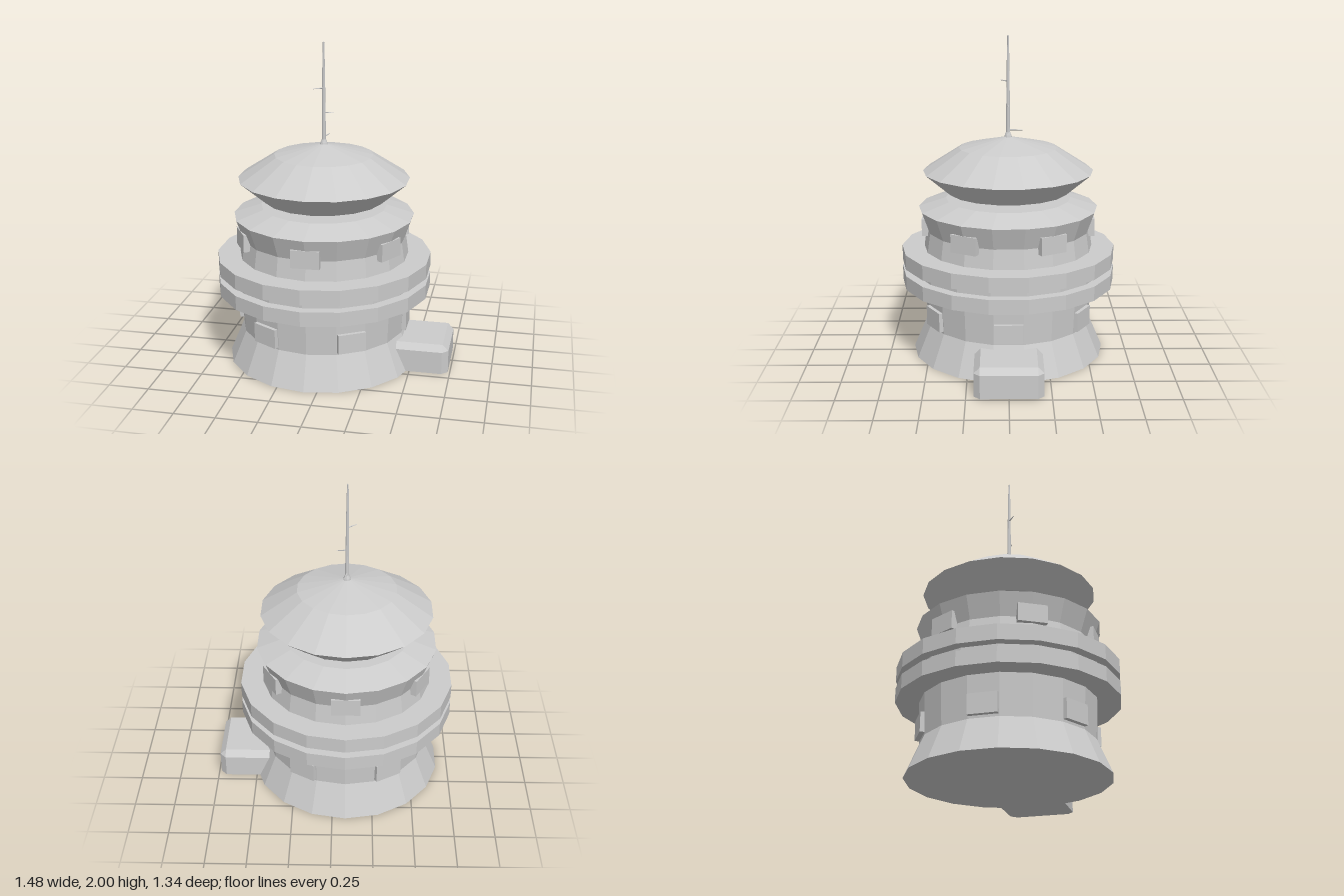
import * as THREE from 'three';
import { ConvexGeometry } from 'three/addons/geometries/ConvexGeometry.js';

const material = new THREE.MeshStandardMaterial({ color: 0xcccccc, flatShading: true });

export function createModel() {
  const model = new THREE.Group();
  const tower = new THREE.Group();
  tower.name = 'tower';
  tower.position.x = -0.08;
  model.add(tower);

  const add = (parent, name, geometry) => {
    const mesh = new THREE.Mesh(geometry, material);
    mesh.name = name;
    parent.add(mesh);
    return mesh;
  };

  // Faceted turned part from [radius, height] pairs, bottom to top
  const turned = (name, profile, sides = 18) => add(tower, name,
    new THREE.LatheGeometry(profile.map(([r, y]) => new THREE.Vector2(r, y)), sides));

  turned('lowerBody', [[0, 0], [0.605, 0], [0.518, 0.205], [0.53, 0.46], [0, 0.46]]);
  turned('lowerRing', [[0, 0.455], [0.67, 0.455], [0.67, 0.545], [0, 0.545]]);
  turned('ringGroove', [[0.61, 0.54], [0.61, 0.595]]);
  turned('upperRing', [[0, 0.587], [0.67, 0.587], [0.67, 0.68], [0, 0.68]]);
  turned('upperBody', [[0.53, 0.675], [0.512, 0.8], [0.56, 0.935], [0.39, 0.99], [0, 0.99]]);
  turned('neck', [[0.125, 0.985], [0.125, 1.04]]);
  turned('roof', [[0, 1.033], [0.376, 1.033], [0.53, 1.165], [0.305, 1.31], [0, 1.38]]);
  turned('mast', [[0.026, 1.365], [0.021, 1.385], [0.013, 1.405], [0.011, 1.6], [0.008, 1.85], [0.005, 1.995], [0, 2]], 10);

  // Six window blocks per storey
  const windowRow = (name, y, height, startDegrees) => {
    for (let i = 0; i < 6; i++) {
      const pivot = new THREE.Group();
      pivot.rotation.y = THREE.MathUtils.degToRad(startDegrees + i * 60);
      tower.add(pivot);
      add(pivot, name, new THREE.BoxGeometry(0.173, height, 0.1)).position.set(0, y, 0.489);
    }
  };
  windowRow('lowerWindow', 0.28, 0.12, 30);
  windowRow('upperWindow', 0.815, 0.11, 0);

  // Thin spikes on the mast: [height, x reach, z reach]
  for (const [y, x, z] of [[1.72, -0.055, 0.045], [1.57, 0.063, 0], [1.42, 0.017, -0.088]]) {
    const reach = new THREE.Vector3(x, 0, z);
    const spike = add(tower, 'mastSpike', new THREE.CylinderGeometry(0.002, 0.005, reach.length(), 6));
    spike.position.set(x / 2, y, z / 2);
    spike.quaternion.setFromUnitVectors(new THREE.Vector3(0, 1, 0), reach.normalize());
  }

  // Entrance block with chamfered outer edges
  const points = [];
  for (const s of [-1, 1]) {
    for (const y of [0, 0.143]) {
      for (const [x, z] of [[0.25, 0.205], [0.7, 0.205], [0.737, 0.168]]) {
        points.push(new THREE.Vector3(x, y, s * z));
      }
    }
    for (const x of [0.25, 0.7]) points.push(new THREE.Vector3(x, 0.18, s * 0.168));
  }
  add(model, 'entrance', new ConvexGeometry(points));

  return model;
}
